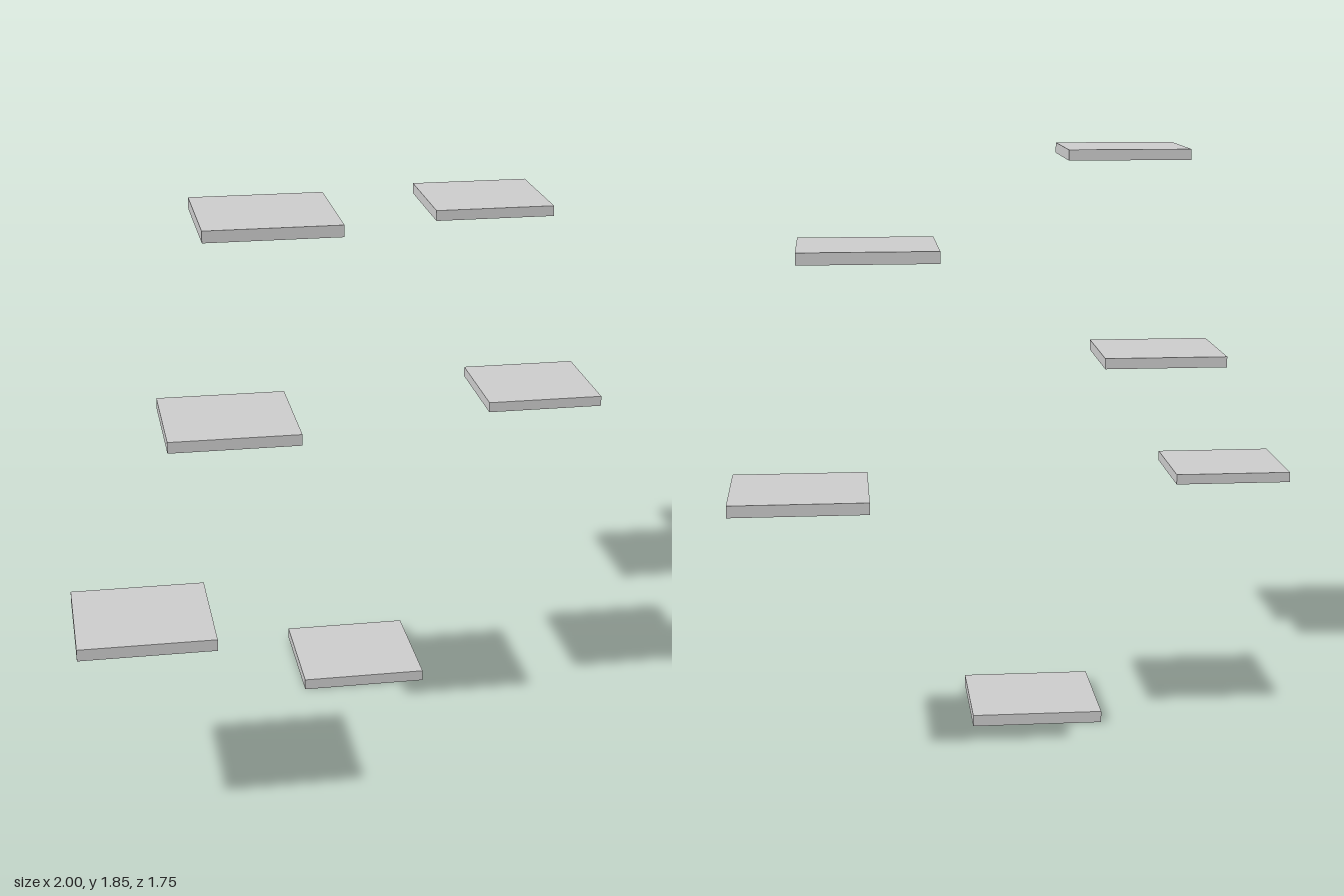
import * as THREE from 'three';

const SIZE = 0.425;
const THICKNESS = 0.037;

// Centre of each floating slab, from lowest to highest
const CENTRES = [
  [0.027, 0.0185, -0.199],
  [-0.787, 0.621, 0.66],
  [0.787, 0.856, -0.66],
  [-0.467, 1.123, 0.276],
  [0.568, 1.599, -0.613],
  [-0.355, 1.828, 0.414],
];

export function createModel() {
  const model = new THREE.Group();
  model.name = 'floatingPlatforms';
  const material = new THREE.MeshStandardMaterial({ color: 0xcccccc, flatShading: true });
  const slab = new THREE.BoxGeometry(SIZE, THICKNESS, SIZE);

  // Identical square platforms
  CENTRES.forEach(([x, y, z], i) => {
    const platform = new THREE.Mesh(slab, material);
    platform.name = `platform${i + 1}`;
    platform.position.set(x, y, z);
    model.add(platform);
  });
  return model;
}
